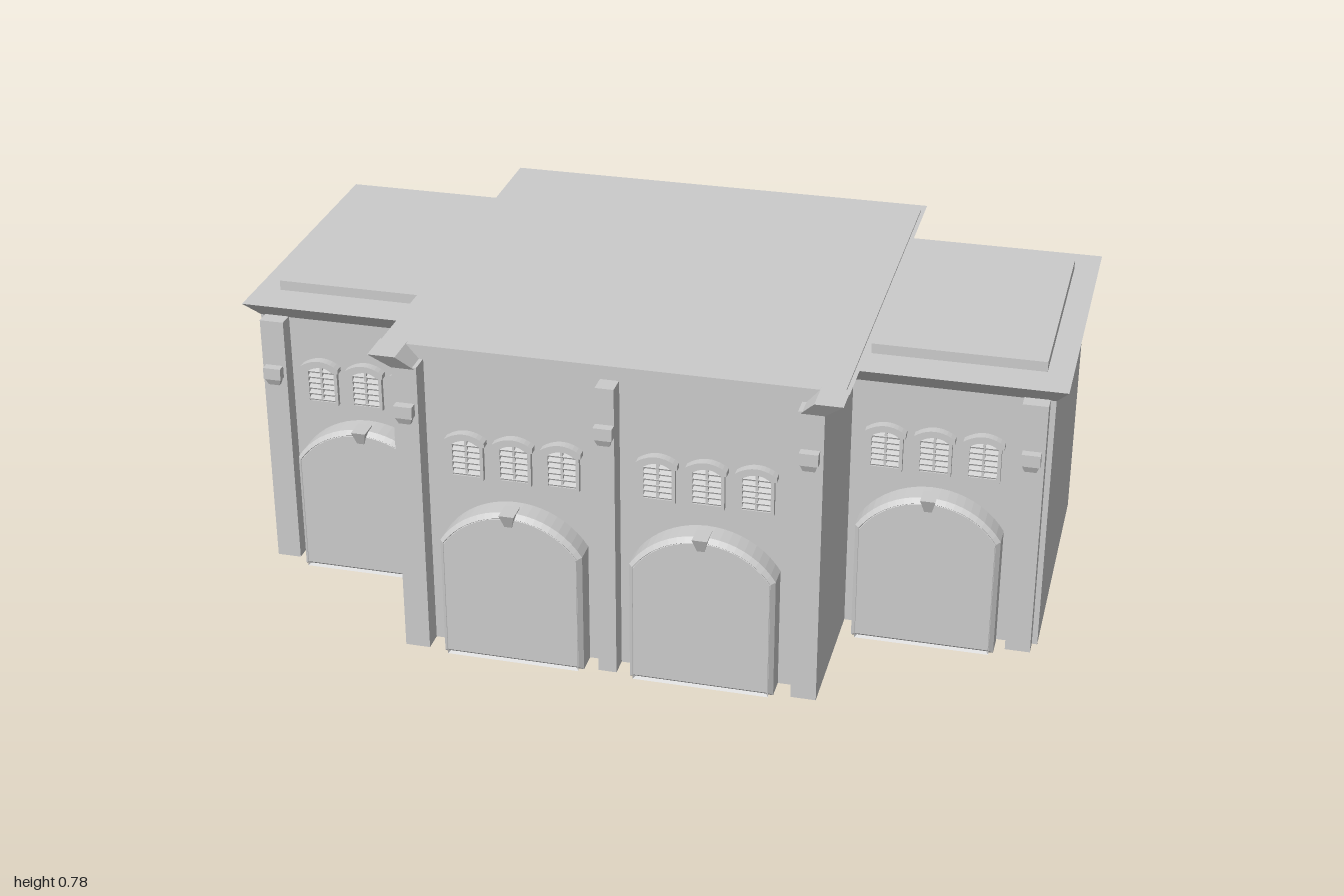
import * as THREE from 'three';

const mat = new THREE.MeshStandardMaterial({ color: 0xcccccc, flatShading: true });

function add(parent, name, geo, x = 0, y = 0, z = 0) {
  const m = new THREE.Mesh(geo, mat);
  m.name = name;
  m.position.set(x, y, z);
  parent.add(m);
  return m;
}

// Box given by its limits
function block(parent, name, x0, x1, y0, y1, z0, z1) {
  return add(parent, name, new THREE.BoxGeometry(x1 - x0, y1 - y0, z1 - z0),
    (x0 + x1) / 2, (y0 + y1) / 2, (z0 + z1) / 2);
}

// Box whose bottom and top rectangles differ: [x0, x1, z0, z1]
function flare(parent, name, y0, y1, bottom, top) {
  const g = new THREE.BoxGeometry(1, 1, 1);
  const p = g.attributes.position;
  for (let i = 0; i < p.count; i++) {
    const r = p.getY(i) > 0 ? top : bottom;
    p.setXYZ(i, r[p.getX(i) > 0 ? 1 : 0], p.getY(i) > 0 ? y1 : y0, r[p.getZ(i) > 0 ? 3 : 2]);
  }
  g.computeVertexNormals();
  return add(parent, name, g);
}

// Opening with a shallow segmental arch
function archPath(w, y0, spring, top, PathType = THREE.Shape) {
  const h = top - spring;
  const R = (w * w + h * h) / (2 * h);
  const a = Math.asin(Math.min(1, w / R));
  const s = new PathType();
  s.moveTo(-w, y0);
  s.lineTo(w, y0);
  s.lineTo(w, spring);
  s.absarc(0, top - R, R, Math.PI / 2 - a, Math.PI / 2 + a, false);
  s.lineTo(-w, y0);
  return s;
}

function archRing(outer, inner) {
  const s = archPath(...outer);
  s.holes.push(archPath(...inner, THREE.Path));
  return s;
}

function extrude(shape, depth, bevel = 0) {
  return new THREE.ExtrudeGeometry(shape, {
    depth, curveSegments: 10, bevelEnabled: bevel > 0,
    bevelThickness: bevel, bevelSize: bevel, bevelOffset: -bevel, bevelSegments: 1,
  });
}

// Large arched bay door, wall plane at z = 0
function makeDoor() {
  const g = new THREE.Group();
  g.name = 'bayDoor';
  add(g, 'doorFrame', extrude(archRing([0.172, 0, 0.305, 0.4], [0.15, 0.012, 0.3, 0.378]), 0.053, 0.012));
  add(g, 'doorPanel', extrude(archPath(0.155, 0, 0.3, 0.38), 0.03));
  const rise = x => 0.378 - 0.075 * (x / 0.155) ** 2;
  for (const x of [-0.105, -0.045, 0.045, 0.105]) {
    block(g, 'doorMullion', x - 0.004, x + 0.004, 0.01, rise(x), 0.028, 0.04);
  }
  for (let i = 0; i < 6; i++) {
    const y = 0.022 + i * 0.06;
    const w = y > 0.31 ? 0.12 : 0.152;
    block(g, 'doorRail', -w, w, y - 0.004, y + 0.004, 0.028, 0.038);
  }
  // Tapered keystone
  flare(g, 'keystone', 0.37, 0.405, [-0.009, 0.009, 0.03, 0.068], [-0.018, 0.018, 0.03, 0.082]);
  return g;
}

// Small louvred window with a hood, base at y = 0
function makeWindow() {
  const g = new THREE.Group();
  g.name = 'louvredWindow';
  add(g, 'windowFrame', extrude(archRing([0.041, 0, 0.092, 0.106], [0.033, 0.008, 0.088, 0.099]), 0.012));
  for (let i = 0; i < 6; i++) {
    const s = block(g, 'louvre', -0.034, 0.034, 0.012 + i * 0.015, 0.016 + i * 0.015, 0, 0.012);
    s.rotation.x = 0.5;
  }
  block(g, 'windowMullion', -0.003, 0.003, 0.005, 0.1, 0, 0.011);
  // Arched hood with short returns
  const hood = new THREE.Shape();
  hood.moveTo(-0.048, 0.092);
  hood.lineTo(-0.034, 0.092);
  hood.quadraticCurveTo(0, 0.12, 0.034, 0.092);
  hood.lineTo(0.048, 0.092);
  hood.lineTo(0.048, 0.104);
  hood.quadraticCurveTo(0, 0.138, -0.048, 0.104);
  add(g, 'windowHood', extrude(hood, 0.022));
  return g;
}

// One bay: a door with three windows above it
function addBay(parent, x, wallZ, windowY) {
  const door = makeDoor();
  door.position.set(x, 0, wallZ);
  parent.add(door);
  for (const dx of [-0.115, 0, 0.115]) {
    const w = makeWindow();
    w.position.set(x + dx, windowY, wallZ);
    parent.add(w);
  }
}

// Wall pilaster with a stepped bracket
function addPilaster(parent, x, half, height, wallZ, frontZ, bracketY) {
  block(parent, 'pilaster', x - half, x + half, 0, height, wallZ - 0.01, frontZ);
  flare(parent, 'bracket', bracketY, bracketY + 0.018,
    [x - 0.014, x + 0.014, frontZ - 0.01, frontZ + 0.012], [x - 0.02, x + 0.02, frontZ - 0.01, frontZ + 0.02]);
  block(parent, 'bracketCap', x - 0.022, x + 0.022, bracketY + 0.018, bracketY + 0.048, frontZ - 0.01, frontZ + 0.022);
}

export function createModel() {
  const model = new THREE.Group();
  model.name = 'fireStation';

  // Central hall: side profile (z, y) with the leaning back wall, run along x
  const hall = new THREE.Group();
  hall.name = 'centralHall';
  model.add(hall);
  const profile = new THREE.Shape([[0.51, 0], [0.51, 0.745], [-0.52, 0.745], [-0.555, 0.7], [-0.51, 0]]
    .map(p => new THREE.Vector2(...p)));
  const body = extrude(profile, 1);
  body.rotateY(-Math.PI / 2);
  add(hall, 'hallWalls', body, 0.5, 0, 0);

  // Flared roof edge, flush with the wall at the front
  flare(hall, 'hallCornice', 0.74, 0.775, [-0.5, 0.5, -0.52, 0.512], [-0.545, 0.545, -0.595, 0.512]);
  block(hall, 'hallRoof', -0.535, 0.535, 0.77, 0.779, -0.555, 0.512);
  for (const s of [-1, 1]) {
    const span = (a, b) => s > 0 ? [a, b] : [-b, -a];
    flare(hall, 'corniceReturn', 0.74, 0.78,
      [...span(0.445, 0.5), 0.5, 0.56], [...span(0.48, 0.545), 0.5, 0.587]);
    addPilaster(hall, s * 0.47, 0.03, 0.745, 0.51, 0.56, 0.605);
    addBay(hall, s * 0.228, 0.51, 0.452);
  }
  addPilaster(hall, 0, 0.022, 0.745, 0.51, 0.558, 0.607);

  // Lower side wings
  for (const s of [-1, 1]) {
    const wing = new THREE.Group();
    wing.name = s > 0 ? 'leftWing' : 'rightWing';
    model.add(wing);
    const span = (a, b) => s > 0 ? [a, b] : [-b, -a];
    block(wing, 'wingWalls', ...span(0.49, 0.97), 0, 0.66, -0.51, 0.195);
    flare(wing, 'wingCornice', 0.655, 0.697,
      [...span(0.49, 0.97), -0.51, 0.195], [...span(0.49, 1), -0.56, 0.235]);
    block(wing, 'roofPlatform', ...span(0.53, 0.94), 0.69, 0.722, -0.465, 0.135);
    addPilaster(wing, s * 0.927, 0.03, 0.658, 0.195, 0.235, 0.492);
    addBay(wing, s * 0.7, 0.205, 0.437);
  }
  return model;
}
